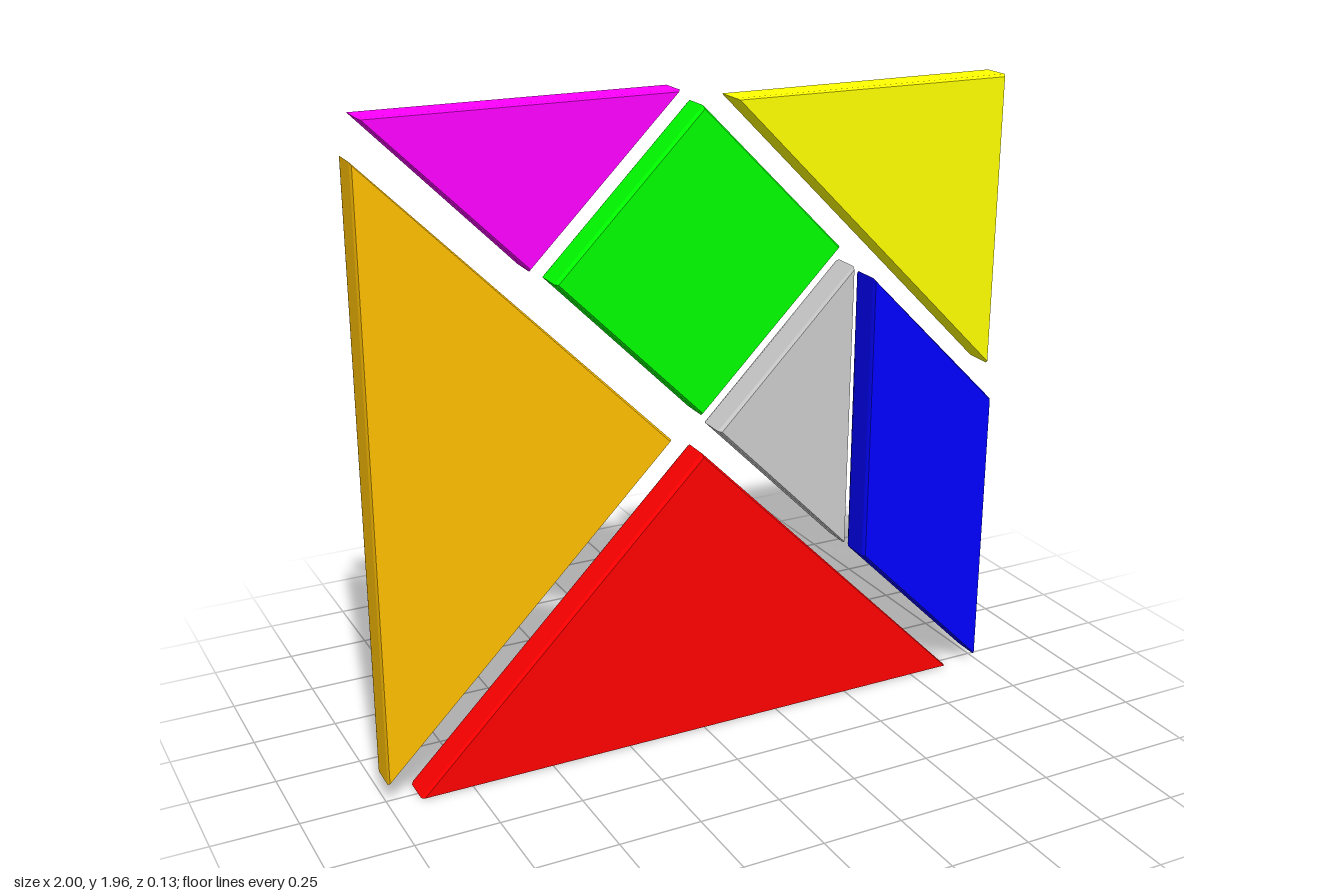
import * as THREE from 'three';

const THICKNESS = 0.105;
const BEVEL_DEPTH = 0.012;
const BEVEL_INSET = 0.006;

// Outline of each tile, in the plane of the puzzle
const TILES = [
  { name: 'bottomLargeTriangle', color: 0xff0000, outline: [[-0.905, 0], [0.885, 0], [-0.01, 0.9]] },
  { name: 'sideLargeTriangle', color: 0xffbf00, outline: [[-1, 0.07], [-0.11, 0.96], [-1, 1.85]] },
  { name: 'cornerSmallTriangle', color: 0xff00ff, outline: [[-0.53, 1.51], [-0.085, 1.957], [-0.975, 1.957]] },
  { name: 'square', color: 0x00ff00, outline: [[-0.015, 1.02], [0.43, 1.465], [-0.015, 1.91], [-0.46, 1.465]] },
  { name: 'mediumTriangle', color: 0xffff00, outline: [[0.975, 1.03], [0.975, 1.92], [0.085, 1.92]] },
  { name: 'centreSmallTriangle', color: 0xcccccc, outline: [[0.04, 0.96], [0.48, 0.52], [0.48, 1.4]] },
  { name: 'parallelogram', color: 0x0000ff, outline: [[0.55, 0.46], [0.997, 0.015], [0.997, 0.91], [0.55, 1.355]] },
];

// Flat tile with a fine chamfer around both faces
function makeTile({ name, color, outline }) {
  const shape = new THREE.Shape(outline.map(([x, y]) => new THREE.Vector2(x, y)));
  const geometry = new THREE.ExtrudeGeometry(shape, {
    depth: THICKNESS - 2 * BEVEL_DEPTH,
    bevelThickness: BEVEL_DEPTH,
    bevelSize: BEVEL_INSET,
    bevelOffset: -BEVEL_INSET,
    bevelSegments: 1,
  });
  geometry.translate(0, 0, BEVEL_DEPTH - THICKNESS / 2);
  const tile = new THREE.Mesh(geometry, new THREE.MeshStandardMaterial({ color, flatShading: true }));
  tile.name = name;
  return tile;
}

export function createModel() {
  const model = new THREE.Group();
  model.name = 'tangram';

  // All tiles share one plane that leans slightly forward at the top
  const tiles = new THREE.Group();
  tiles.name = 'tiles';
  for (const tile of TILES) tiles.add(makeTile(tile));
  tiles.rotation.x = 0.0128;
  tiles.position.z = -0.0125;
  model.add(tiles);
  return model;
}
